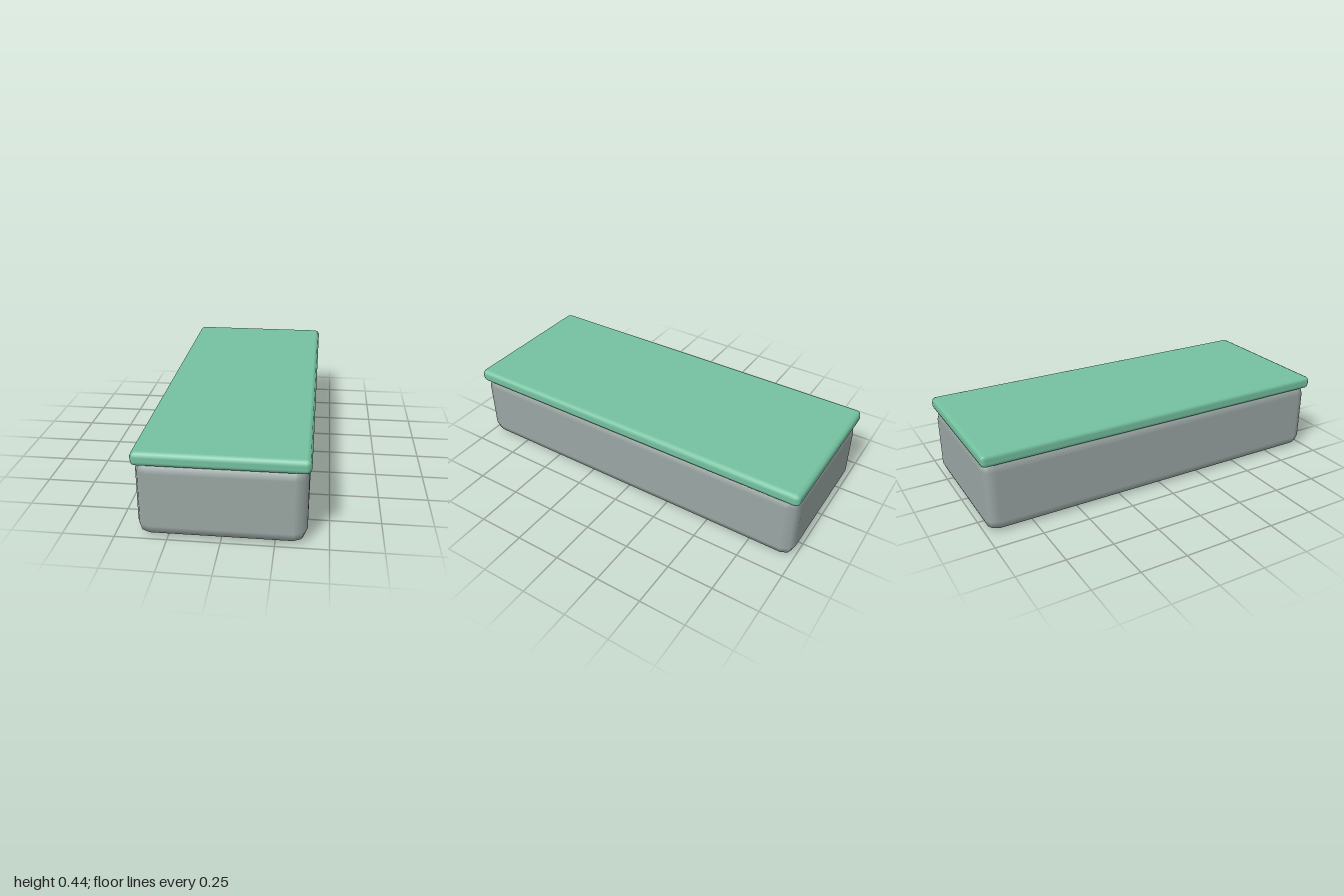
import * as THREE from 'three';
import { RoundedBoxGeometry } from 'three/addons/geometries/RoundedBoxGeometry.js';

// Box with softly bevelled edges, standing between two heights
function softBox(name, width, bottom, top, length, radius, color) {
  const geometry = new RoundedBoxGeometry(width, top - bottom, length, 1, radius);
  const mesh = new THREE.Mesh(geometry, new THREE.MeshStandardMaterial({ color }));
  mesh.name = name;
  mesh.position.y = (bottom + top) / 2;
  return mesh;
}

export function createModel() {
  const group = new THREE.Group();
  group.name = 'lowBench';

  // Body, its top edge tucked into the slab
  group.add(softBox('body', 0.795, 0, 0.397, 1.985, 0.063, 0x9aa7a4));

  // Overhanging top slab
  group.add(softBox('topSlab', 0.815, 0.37, 0.44, 2, 0.025, 0x74c2a0));

  return group;
}
